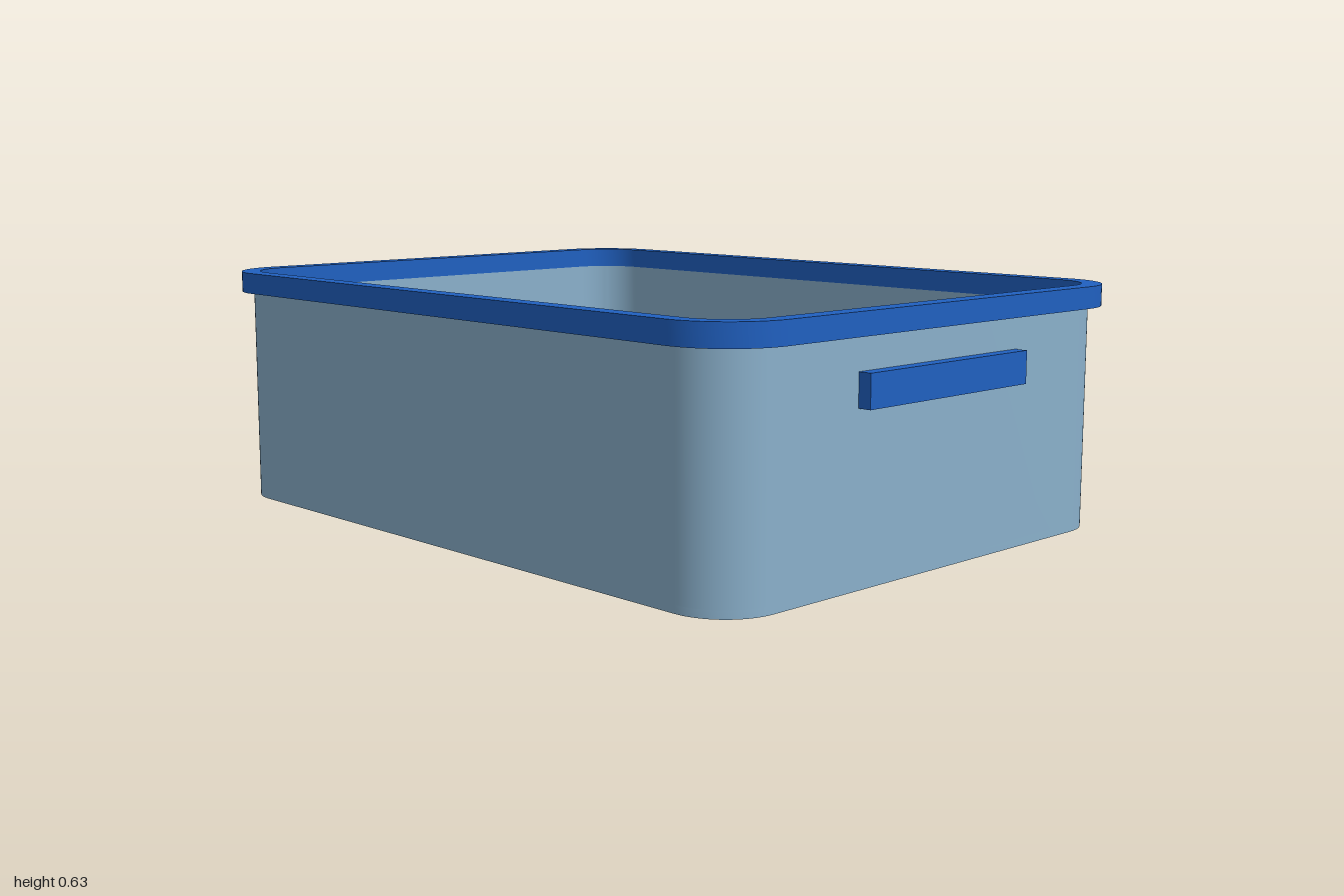
import * as THREE from 'three';
import { toCreasedNormals } from 'three/addons/utils/BufferGeometryUtils.js';

const paint = (name, color) => {
  const m = new THREE.MeshStandardMaterial({ color });
  m.name = name;
  return m;
};

// Rounded rectangle outline, given its full width, depth and corner radius
function roundedRect(w, d, r, Type = THREE.Shape) {
  const s = new Type();
  const x = w / 2, y = d / 2;
  s.moveTo(-x + r, -y);
  s.lineTo(x - r, -y);
  s.absarc(x - r, -y + r, r, -Math.PI / 2, 0);
  s.lineTo(x, y - r);
  s.absarc(x - r, y - r, r, 0, Math.PI / 2);
  s.lineTo(-x + r, y);
  s.absarc(-x + r, y - r, r, Math.PI / 2, Math.PI);
  s.lineTo(-x, -y + r);
  s.absarc(-x + r, -y + r, r, Math.PI, Math.PI * 1.5);
  return s;
}

// Flat slab standing on y = 0, with an optional rounded opening
function slab([w, d, r], height, hole) {
  const shape = roundedRect(w, d, r);
  if (hole) shape.holes.push(roundedRect(...hole, THREE.Path));
  const geo = new THREE.ExtrudeGeometry(shape, { depth: height, bevelEnabled: false, curveSegments: 10 });
  geo.rotateX(-Math.PI / 2);
  return toCreasedNormals(geo, Math.PI / 6);
}

export function createModel() {
  const group = new THREE.Group();
  group.name = 'storageBox';
  const shell = paint('pale blue plastic', 0x8ab0cb);
  const trim = paint('blue trim', 0x2060c0);

  const add = (name, geo, mat, x = 0, y = 0, z = 0, turn = 0) => {
    const mesh = new THREE.Mesh(geo, mat);
    mesh.name = name;
    mesh.position.set(x, y, z);
    mesh.rotation.y = turn;
    group.add(mesh);
  };

  // Tub: floor, walls and overhanging rim
  const outer = [1.932, 1.43, 0.15];
  add('floor', slab(outer, 0.02), shell);
  add('walls', slab(outer, 0.59, [1.904, 1.396, 0.135]), shell, 0, 0.02);
  add('rim', slab([2, 1.49, 0.18], 0.056, [1.898, 1.39, 0.13]), trim, 0, 0.579);

  // Grip bar on each end
  for (const side of [1, -1]) {
    add(side > 0 ? 'leftHandle' : 'rightHandle', new THREE.BoxGeometry(0.04, 0.082, 0.59), trim, side * 0.98, 0.456, 0);
  }

  // Loosely stacked large sheets
  const large = slab([1.6, 1.135, 0.025], 0.02);
  add('bottomSheet', large, paint('pink', 0xcb6488), 0, 0.02, 0, 0.05);
  add('middleSheet', large, paint('yellow', 0xc8a228), 0, 0.04, 0, -0.065);
  add('topSheet', large, paint('green', 0x7dbd5a), 0, 0.06, 0, -0.036);

  // Two smaller folders lying side by side on top
  const folder = [0.825, 0.76, 0.04];
  add('rightFolder', slab(folder, 0.034), paint('purple', 0x7b4299), -0.43, 0.08, -0.02, 0.14);
  add('leftFolder', slab(folder, 0.037), paint('orange', 0xc96e20), 0.452, 0.08, 0.022, -0.1);

  return group;
}
